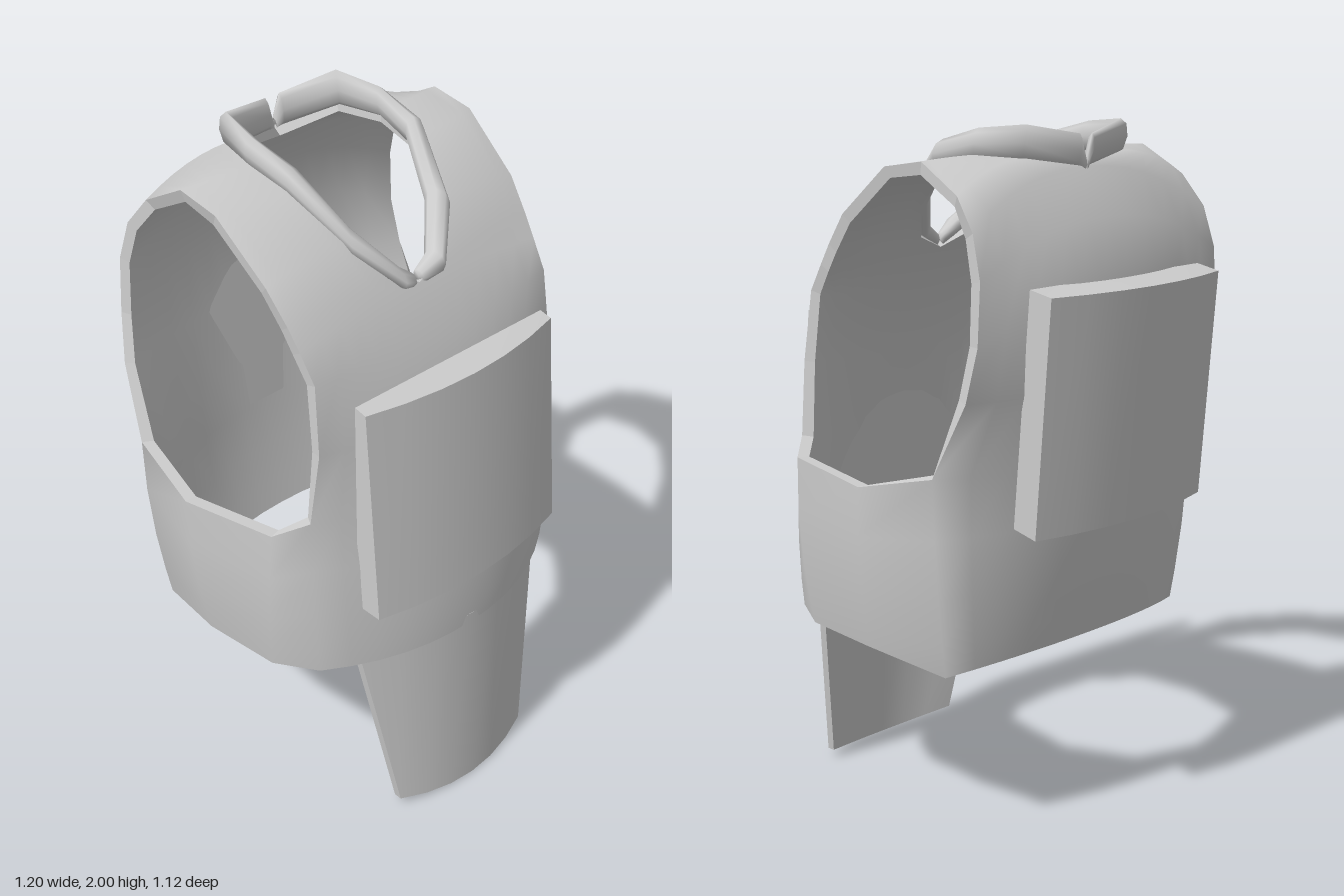
import * as THREE from 'three';
import { mergeVertices } from 'three/addons/utils/BufferGeometryUtils.js';

const fabric = new THREE.MeshStandardMaterial({ color: 0xcccccc });
fabric.name = 'greyFabric';

const lerp = THREE.MathUtils.lerp;
const mix = (a, b, t) => a.map((v, i) => lerp(v, b[i], t));

// Quads between the rows of a point grid
function gridQuads(rows) {
  const quads = [];
  for (let r = 0; r < rows.length - 1; r++)
    for (let c = 0; c < rows[r].length - 1; c++)
      quads.push([rows[r][c], rows[r][c + 1], rows[r + 1][c + 1], rows[r + 1][c]]);
  return quads;
}

// Add the reflected copy in x
const mirrored = quads => quads.concat(
  quads.map(q => q.map(([x, y, z]) => [-x, y, z]).reverse()));

// Smooth welded surface from quads
function surface(quads) {
  const soup = quads.flatMap(([a, b, c, d]) => [a, b, c, a, c, d]).flat();
  let g = new THREE.BufferGeometry();
  g.setAttribute('position', new THREE.Float32BufferAttribute(soup, 3));
  g = mergeVertices(g, 1e-4);
  g.computeVertexNormals();
  return g;
}

// Give an open surface an inner layer and a hard rim along its borders
function thicken(g, t) {
  const p = g.attributes.position, n = g.attributes.normal, idx = [...g.index.array];
  const count = p.count, pos = [], nor = [], index = [...idx];
  for (const side of [0, 1])
    for (let i = 0; i < count; i++) {
      const m = [n.getX(i), n.getY(i), n.getZ(i)];
      [p.getX(i), p.getY(i), p.getZ(i)].forEach((v, k) => {
        pos.push(v - m[k] * t * side);
        nor.push(side ? -m[k] : m[k]);
      });
    }
  const edges = new Map();
  for (let i = 0; i < idx.length; i += 3) {
    index.push(count + idx[i], count + idx[i + 2], count + idx[i + 1]);
    for (let k = 0; k < 3; k++) {
      const a = idx[i + k], b = idx[i + (k + 1) % 3];
      if (a !== b) edges.set(a + '_' + b, [a, b]);
    }
  }
  const at = i => new THREE.Vector3().fromArray(pos, i * 3);
  for (const [a, b] of edges.values()) {
    if (edges.has(b + '_' + a)) continue;
    const q = [at(b), at(a), at(a + count), at(b + count)];
    const m = q[1].clone().sub(q[0]).cross(q[2].clone().sub(q[0])).normalize();
    const s = pos.length / 3;
    q.forEach(v => { pos.push(...v.toArray()); nor.push(...m.toArray()); });
    index.push(s, s + 1, s + 2, s, s + 2, s + 3);
  }
  const out = new THREE.BufferGeometry();
  out.setAttribute('position', new THREE.Float32BufferAttribute(pos, 3));
  out.setAttribute('normal', new THREE.Float32BufferAttribute(nor, 3));
  out.setIndex(index);
  return out;
}

// Vest: a strip over each shoulder from centre/neck edge to armhole, and a waist band
function vestGeometry() {
  const stations = [ // [inner edge, armhole edge], front to back
    [[0, 1.06, 0.465], [0.47, 1.1, 0.355]],
    [[0, 1.3, 0.42], [0.445, 1.315, 0.365]],
    [[0, 1.5, 0.36], [0.435, 1.52, 0.34]],
    [[0, 1.63, 0.28], [0.44, 1.6, 0.29]],
    [[0.1, 1.67, 0.26], [0.445, 1.66, 0.25]],
    [[0.17, 1.78, 0.18], [0.455, 1.75, 0.18]],
    [[0.22, 1.89, 0.03], [0.465, 1.89, 0]],
    [[0.235, 1.915, -0.12], [0.465, 1.91, -0.14]],
    [[0.2, 1.91, -0.27], [0.475, 1.83, -0.28]],
    [[0, 1.88, -0.31], [0.49, 1.74, -0.35]],
    [[0, 1.75, -0.395], [0.5, 1.62, -0.385]],
    [[0, 1.58, -0.455], [0.51, 1.45, -0.385]],
    [[0, 1.3, -0.45], [0.53, 1.3, -0.36]],
    [[0, 1.08, -0.425], [0.56, 1.09, -0.265]],
  ];
  const N = 6;
  const us = Array.from({ length: N + 1 }, (_, i) => i / N);
  const row = ([a, b]) => us.map(u => {
    const e = u ** 2.2;
    return [lerp(a[0], b[0], u), lerp(a[1], b[1], e), lerp(a[2], b[2], e)];
  });
  const strip = stations.map(row);
  const waist = [...strip[0], [0.55, 1.06, 0.285], [0.6, 1.035, -0.02], ...strip.at(-1).slice().reverse()];
  const hem = [
    ...row([[0, 0.59, 0.525], [0.46, 0.58, 0.375]]),
    [0.53, 0.57, 0.25], [0.55, 0.56, 0],
    ...row([[0, 0.55, -0.35], [0.5, 0.515, -0.25]]).reverse(),
  ];
  const band = [0, 0.15, 0.4, 0.7, 1].map(t => hem.map((h, i) => {
    const p = mix(h, waist[i], t), swell = 1 + 0.1 * t * (1 - t);
    return [p[0] * swell, p[1], p[2] * swell];
  }));
  return thicken(surface(mirrored([...gridQuads(band), ...gridQuads(strip)])), 0.035);
}

// Collar: rounded band swept along the neck edge, notched at front and back
function collarGeometry() {
  const path = [ // x, y, z, half height, half thickness
    [0.012, 1.635, 0.262, 0.02, 0.02],
    [0.065, 1.665, 0.27, 0.03, 0.035],
    [0.16, 1.775, 0.18, 0.035, 0.035],
    [0.222, 1.91, 0.025, 0.04, 0.03],
    [0.232, 1.945, -0.12, 0.042, 0.025],
    [0.2, 1.95, -0.262, 0.05, 0.025],
    [0.025, 1.925, -0.305, 0.045, 0.014],
    [0.004, 1.885, -0.31, 0.015, 0.01],
  ];
  const sides = 8;
  const rows = path.map(([x, y, z, h, t]) => {
    const len = Math.hypot(x, z + 0.03);
    const ring = [];
    for (let i = 0; i <= sides; i++) {
      const a = (i % sides) / sides * Math.PI * 2;
      const o = Math.cos(a) * t, up = Math.sin(a) * h;
      ring.push([Math.max(0.002, x + o * x / len), y + up, z + o * (z + 0.03) / len - up * 0.15]);
    }
    return ring;
  });
  // close both ends
  for (const end of [0, rows.length - 1]) {
    const c = mix(rows[end][0], rows[end][sides / 2], 0.5);
    const cap = rows[end].map(() => c);
    end ? rows.push(cap) : rows.unshift(cap);
  }
  return surface(mirrored(gridQuads(rows.map(r => r.slice().reverse()))));
}

// Padded panel: a box bent by a rule; map(t across -1..1, v up 0..1, w back 0 to front 1)
function panelGeometry(map) {
  const g = new THREE.BoxGeometry(2, 1, 1, 6, 1, 1);
  const p = g.attributes.position;
  for (let i = 0; i < p.count; i++)
    p.setXYZ(i, ...map(p.getX(i), p.getY(i) + 0.5, p.getZ(i) + 0.5));
  g.computeVertexNormals();
  return g;
}

export function createModel() {
  const group = new THREE.Group();
  group.name = 'vest';
  const add = (name, geometry) => {
    const mesh = new THREE.Mesh(geometry, fabric);
    mesh.name = name;
    group.add(mesh);
  };

  add('vestBody', vestGeometry());
  add('collar', collarGeometry());

  add('frontPouch', panelGeometry((t, v, w) => [
    t * 0.355,
    lerp(0.79, 1.45 - 0.008 * w, v),
    w ? lerp(0.555, 0.495, v) - 0.05 * t * t : lerp(0.42, 0.405, v),
  ]));

  add('backPad', panelGeometry((t, v, w) => [
    t * 0.36,
    lerp(w ? 0.935 : 0.915, w ? 1.59 : 1.575, v),
    lerp(w ? -0.375 : -0.505, w ? -0.43 : -0.557, v) + (w ? 0 : 0.052 * t * t),
  ]));

  // tapering flap hanging below the front hem
  add('frontFlap', panelGeometry((t, v, w) => [
    t * lerp(0.26, 0.36, v),
    lerp(0.025 * t * t, 0.62, v),
    lerp(0.56 - 0.05 * t * t, 0.525 - 0.095 * t * t, v) - (w ? 0 : 0.025),
  ]));

  return group;
}
